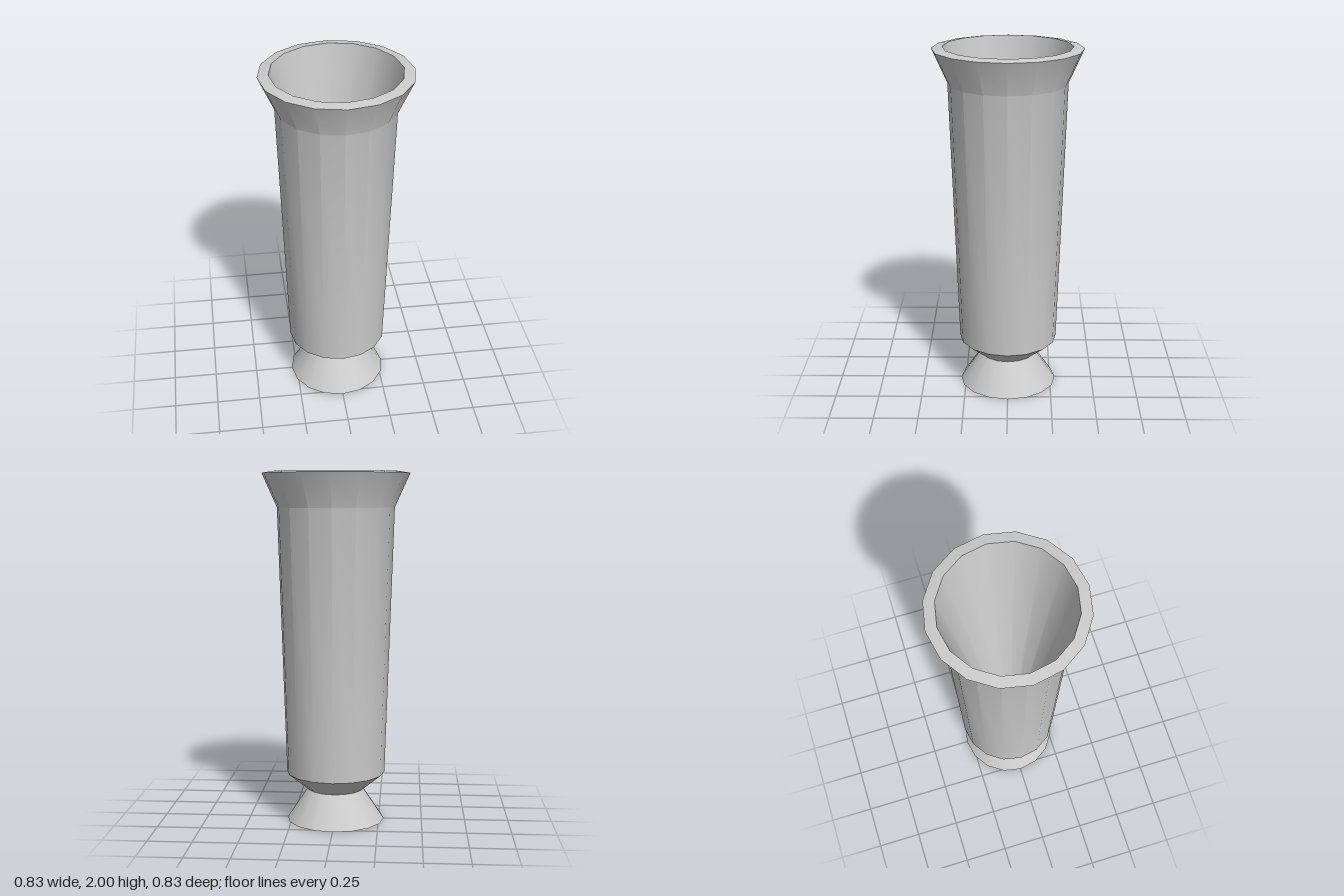
import * as THREE from 'three';
import { toCreasedNormals } from 'three/addons/utils/BufferGeometryUtils.js';

const SIDES = 16;
const material = new THREE.MeshStandardMaterial({ color: 0xcccccc });

// Turned part from [radius, height] pairs, running up the outside and down the inside
function turned(name, profile) {
  const points = profile.map(([r, y]) => new THREE.Vector2(r, y));
  const geometry = toCreasedNormals(new THREE.LatheGeometry(points, SIDES), Math.PI / 6);
  const mesh = new THREE.Mesh(geometry, material);
  mesh.name = name;
  return mesh;
}

export function createModel() {
  const group = new THREE.Group();
  group.name = 'vase';

  // Solid conical foot, narrowing to the neck
  group.add(turned('foot', [[0, 0], [0.28, 0], [0.16, 0.18]]));

  // Hollow body: chamfered bottom, tapered wall, flared lip, conical inside, small floor
  group.add(turned('body', [
    [0.16, 0.18],
    [0.283, 0.28],
    [0.332, 1.8],
    [0.417, 1.99],
    [0.357, 2],
    [0.076, 0.28],
    [0, 0.28],
  ]));

  return group;
}
